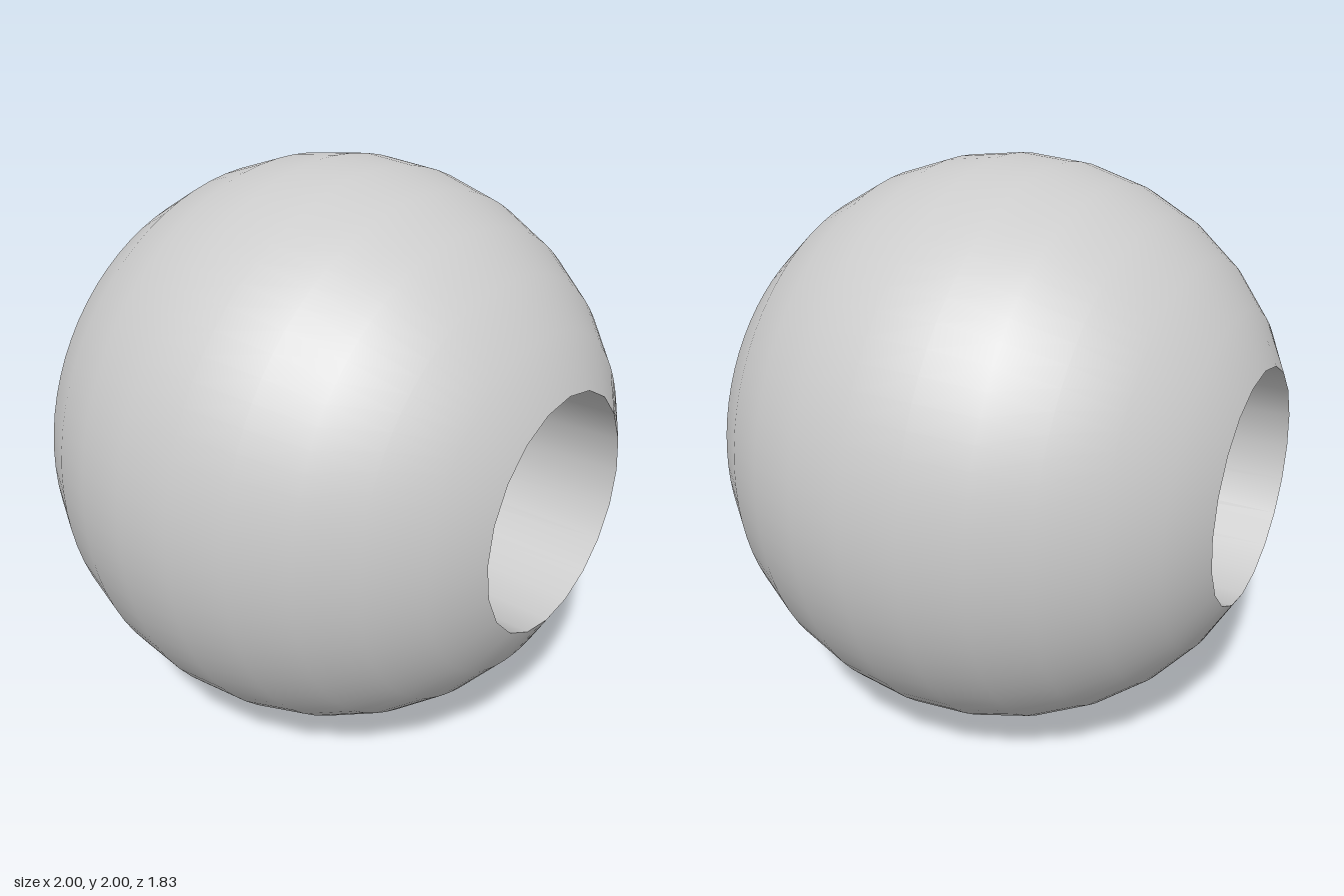
import * as THREE from 'three';

const HOLE_RADIUS = 0.4;
const HOLE_SIDES = 20;
const RIM_Z = Math.sqrt(1 - HOLE_RADIUS ** 2);

// Spherical shell turned around the hole's axis, open at both ends
function ballShell() {
  const rimAngle = Math.asin(RIM_Z);
  const rows = 12;
  const profile = [];
  for (let i = 0; i <= rows; i++) {
    const a = -rimAngle + (2 * rimAngle * i) / rows;
    profile.push(new THREE.Vector2(Math.cos(a), Math.sin(a)));
  }
  const geo = new THREE.LatheGeometry(profile, HOLE_SIDES * 4);
  const pos = geo.attributes.position;
  const normal = geo.attributes.normal;
  const step = (2 * Math.PI) / HOLE_SIDES;
  const v = new THREE.Vector3();
  for (let i = 0; i < pos.count; i++) {
    v.fromBufferAttribute(pos, i);
    // Pull the rim points onto the sides of the hole's polygon
    if (Math.hypot(v.x, v.z) < HOLE_RADIUS + 0.001) {
      const phi = Math.atan2(v.x, v.z) + 2 * Math.PI;
      const k = Math.cos(step / 2) / Math.cos((phi % step) - step / 2);
      pos.setXYZ(i, v.x * k, v.y, v.z * k);
    }
    v.normalize();
    normal.setXYZ(i, v.x, v.y, v.z);
  }
  return geo;
}

// Bore wall, facing inwards
function boreWall() {
  return new THREE.LatheGeometry(
    [new THREE.Vector2(HOLE_RADIUS, RIM_Z), new THREE.Vector2(HOLE_RADIUS, -RIM_Z)],
    HOLE_SIDES
  );
}

export function createModel() {
  const group = new THREE.Group();
  group.name = 'bead';
  const material = new THREE.MeshStandardMaterial({ color: 0xcccccc });
  const parts = { ballShell: ballShell(), boreWall: boreWall() };
  for (const [name, geo] of Object.entries(parts)) {
    geo.rotateX(Math.PI / 2); // bore runs front to back
    geo.translate(0, 1, 0);
    const mesh = new THREE.Mesh(geo, material);
    mesh.name = name;
    group.add(mesh);
  }
  return group;
}
